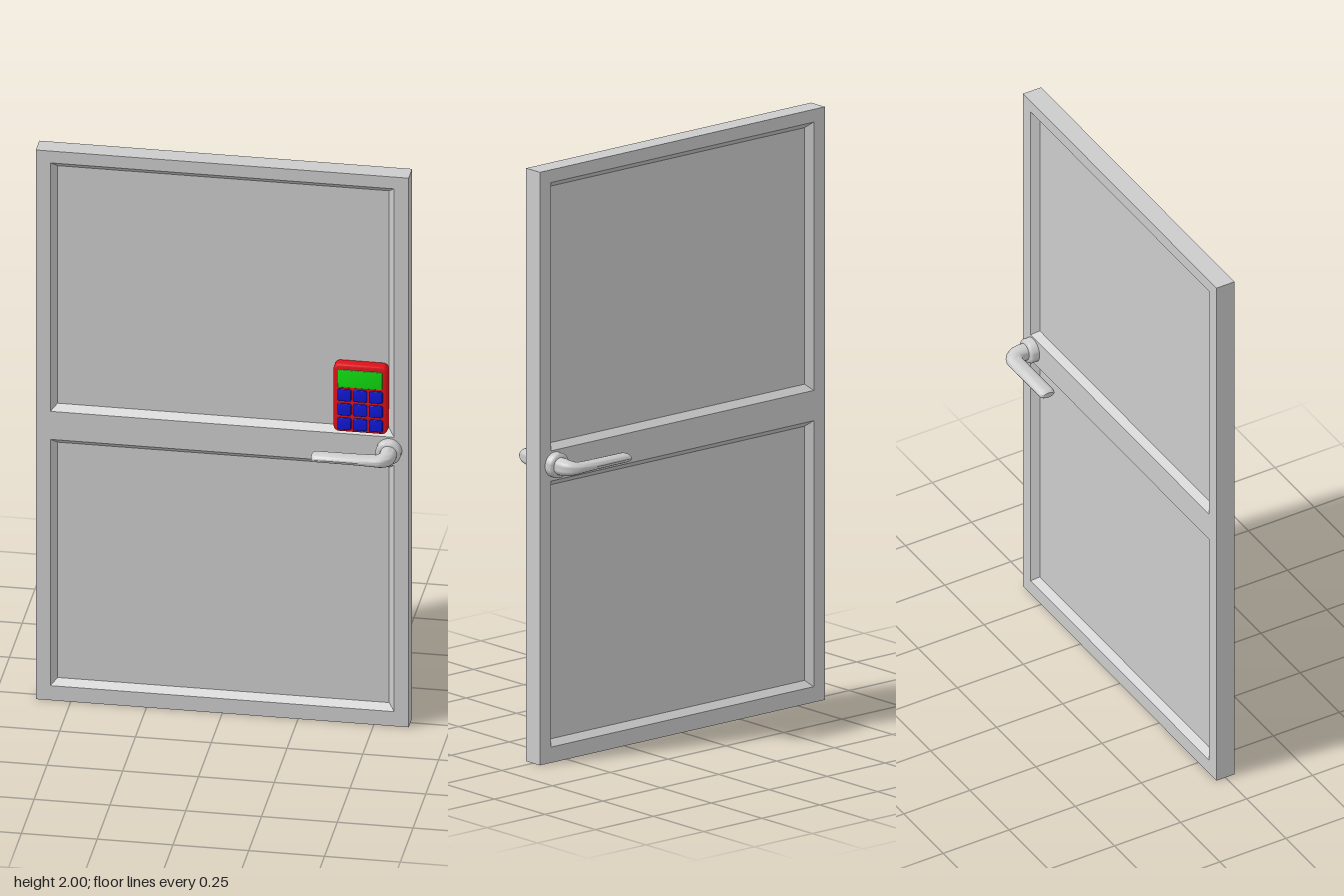
import * as THREE from 'three';
import { toCreasedNormals } from 'three/addons/utils/BufferGeometryUtils.js';

const grey = new THREE.MeshStandardMaterial({ color: 0xcccccc });
const red = new THREE.MeshStandardMaterial({ color: 0xe01018 });
const green = new THREE.MeshStandardMaterial({ color: 0x10e010 });
const blue = new THREE.MeshStandardMaterial({ color: 0x1018d8 });

const HALF_W = 0.615, HALF_T = 0.034, PANEL_T = 0.011;
const OPEN_X = 0.567, INSET = 0.02;
const OPENINGS = [[0.053, 0.95], [1.052, 1.957]]; // y ranges of the two panels

function add(parent, name, geometry, material, x = 0, y = 0, z = 0) {
  const mesh = new THREE.Mesh(geometry, material);
  mesh.name = name;
  mesh.position.set(x, y, z);
  parent.add(mesh);
  return mesh;
}

const rectPoints = (x0, y0, x1, y1) =>
  [[x0, y0], [x1, y0], [x1, y1], [x0, y1]].map(([x, y]) => new THREE.Vector2(x, y));

// Four mitred slopes from the frame face down to the recessed panel
function mouldingGeometry(y0, y1) {
  const outer = rectPoints(-OPEN_X, y0, OPEN_X, y1);
  const inner = rectPoints(-OPEN_X + INSET, y0 + INSET, OPEN_X - INSET, y1 - INSET);
  const pos = [];
  for (let i = 0; i < 4; i++) {
    const j = (i + 1) % 4;
    const a = [outer[i].x, outer[i].y, HALF_T], b = [outer[j].x, outer[j].y, HALF_T];
    const c = [inner[j].x, inner[j].y, PANEL_T], d = [inner[i].x, inner[i].y, PANEL_T];
    pos.push(...a, ...b, ...c, ...a, ...c, ...d);
  }
  const geo = new THREE.BufferGeometry();
  geo.setAttribute('position', new THREE.Float32BufferAttribute(pos, 3));
  geo.computeVertexNormals();
  return geo;
}

// Elliptical sections [x, z, tangentX, tangentZ, halfWidth, halfHeight] lofted in the xz plane
function loftGeometry(sections, sides = 20) {
  const pos = [], index = [];
  sections.forEach(([x, z, tx, tz, w, h], s) => {
    for (let i = 0; i < sides; i++) {
      const a = (i / sides) * Math.PI * 2, c = Math.cos(a) * w;
      pos.push(x + tz * c, Math.sin(a) * h, z - tx * c);
      if (s === 0) continue;
      const p = (s - 1) * sides + i, q = (s - 1) * sides + ((i + 1) % sides);
      index.push(p, q, q + sides, p, q + sides, p + sides);
    }
  });
  const geo = new THREE.BufferGeometry();
  geo.setAttribute('position', new THREE.Float32BufferAttribute(pos, 3));
  geo.setIndex(index);
  return toCreasedNormals(geo, 0.8);
}

function roundedRect(w, h, r) {
  const s = new THREE.Shape();
  s.absarc(w / 2 - r, h / 2 - r, r, 0, Math.PI / 2);
  s.absarc(-w / 2 + r, h / 2 - r, r, Math.PI / 2, Math.PI);
  s.absarc(-w / 2 + r, -h / 2 + r, r, Math.PI, Math.PI * 1.5);
  s.absarc(w / 2 - r, -h / 2 + r, r, Math.PI * 1.5, Math.PI * 2);
  return s;
}

// Rounded plate with a bevelled front, from z = 0 to z = depth
function plateGeometry(w, h, depth, r, bevel) {
  const geo = new THREE.ExtrudeGeometry(roundedRect(w - 2 * bevel, h - 2 * bevel, r), {
    depth: depth - 2 * bevel, bevelThickness: bevel, bevelSize: bevel, bevelSegments: 3, curveSegments: 5,
  });
  geo.translate(0, 0, bevel);
  return toCreasedNormals(geo, 0.6);
}

function createHandle() {
  const handle = new THREE.Group();

  // Round rose against the door
  const profile = [[0, 0.03], [0.042, 0.03], [0.042, 0.056], [0.039, 0.061], [0.033, 0.064], [0, 0.064]]
    .map(([r, y]) => new THREE.Vector2(r, y));
  const rose = toCreasedNormals(new THREE.LatheGeometry(profile, 28).rotateX(Math.PI / 2), 0.6);
  add(handle, 'handleRose', rose, grey, 0.551);

  // Shaft, elbow and flattened grip
  const sections = [[0.553, 0.05, 0, 1, 0.028, 0.029]];
  for (let i = 0; i <= 6; i++) {
    const a = (i / 6) * Math.PI / 2, c = Math.cos(a), s = Math.sin(a);
    sections.push([0.519 + 0.034 * c, 0.085 + 0.034 * s, -s, c, 0.028, 0.029 - 0.011 * i / 6]);
  }
  sections.push(
    [0.46, 0.119, -1, 0, 0.028, 0.016],
    [0.322, 0.119, -1, 0, 0.028, 0.015],
    [0.314, 0.119, -1, 0, 0.025, 0.012],
    [0.31, 0.119, -1, 0, 0.02, 0.009],
    [0.31, 0.119, -1, 0, 0.0005, 0.0005],
  );
  add(handle, 'handleLever', loftGeometry(sections), grey);
  return handle;
}

function createKeypad() {
  const keypad = new THREE.Group();
  keypad.name = 'keypad';
  add(keypad, 'keypadBody', plateGeometry(0.178, 0.244, 0.041, 0.012, 0.007), red, 0.458, 1.189, PANEL_T - 0.001);
  add(keypad, 'keypadScreen', plateGeometry(0.146, 0.064, 0.012, 0.002, 0.002), green, 0.458, 1.261, 0.041);
  const button = plateGeometry(0.046, 0.043, 0.016, 0.004, 0.003);
  for (let row = 0; row < 3; row++)
    for (let col = 0; col < 3; col++)
      add(keypad, 'keypadButton', button, blue, 0.458 + (col - 1) * 0.052, 1.202 - row * 0.052, 0.041);
  return keypad;
}

export function createModel() {
  const model = new THREE.Group();
  model.name = 'door';

  // Frame with two openings
  const outline = new THREE.Shape(rectPoints(-HALF_W, 0, HALF_W, 2));
  for (const [y0, y1] of OPENINGS)
    outline.holes.push(new THREE.Path(rectPoints(-OPEN_X, y0, OPEN_X, y1)));
  const frame = new THREE.ExtrudeGeometry(outline, { depth: HALF_T * 2, bevelEnabled: false });
  add(model, 'doorFrame', frame, grey, 0, 0, -HALF_T);

  // Recessed panels with sloped mouldings on both faces
  for (const [y0, y1] of OPENINGS) {
    const panel = new THREE.BoxGeometry(OPEN_X * 2, y1 - y0, PANEL_T * 2);
    add(model, 'doorPanel', panel, grey, 0, (y0 + y1) / 2, 0);
    const moulding = mouldingGeometry(y0, y1);
    add(model, 'frontMoulding', moulding, grey);
    add(model, 'backMoulding', moulding, grey).rotation.y = Math.PI;
  }

  // A lever handle on each face
  for (const side of ['front', 'back']) {
    const handle = createHandle();
    handle.name = side + 'Handle';
    handle.position.y = 1.004;
    if (side === 'back') handle.rotation.x = Math.PI;
    model.add(handle);
  }

  model.add(createKeypad());
  return model;
}
